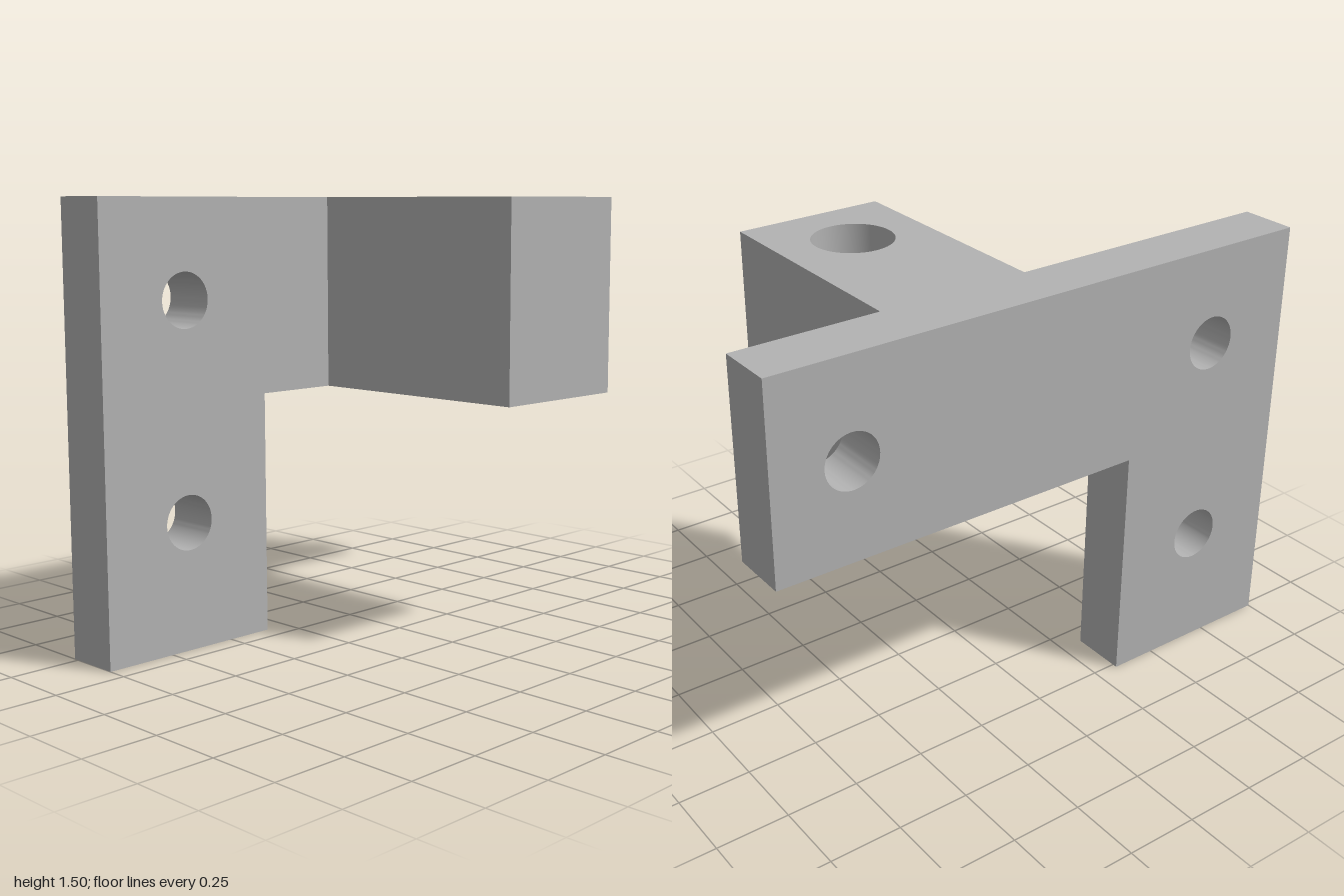
import * as THREE from 'three';
import { toCreasedNormals } from 'three/addons/utils/BufferGeometryUtils.js';

// Extrudes an outline with round holes given as [x, y, radius]
function drilledPlate(outline, holes, depth) {
  const shape = new THREE.Shape(outline.map(([x, y]) => new THREE.Vector2(x, y)));
  for (const [x, y, r] of holes) {
    shape.holes.push(new THREE.Path().absarc(x, y, r, 0, Math.PI * 2, true));
  }
  const geometry = new THREE.ExtrudeGeometry(shape, { depth, bevelEnabled: false, curveSegments: 32 });
  return toCreasedNormals(geometry, 0.6);
}

export function createModel() {
  const group = new THREE.Group();
  group.name = 'bracket';
  const grey = new THREE.MeshStandardMaterial({ name: 'grey', color: 0xb2b2b2 });

  const top = 1.503, ledge = 0.836;
  const back = -0.517, plateFront = -0.32, armFront = 0.517;

  // L-shaped mounting plate with three screw holes
  const plate = new THREE.Mesh(drilledPlate(
    [[-1, 0], [-0.335, 0], [-0.335, ledge], [1, ledge], [1, top], [-1, top]],
    [[-0.67, 1.17, 0.093], [-0.67, 0.435, 0.093], [0.73, 1.17, 0.093]],
    plateFront - back), grey);
  plate.name = 'mountingPlate';
  plate.position.z = back;
  group.add(plate);

  // Forward arm with a vertical through hole; drawn in plan, then laid flat
  const armGeometry = drilledPlate(
    [[-0.033, -armFront], [0.498, -armFront], [0.498, -plateFront], [-0.033, -plateFront]],
    [[0.23, -0.247, 0.139]],
    top - ledge);
  armGeometry.rotateX(-Math.PI / 2);
  const arm = new THREE.Mesh(armGeometry, grey);
  arm.name = 'arm';
  arm.position.y = ledge;
  group.add(arm);

  return group;
}
